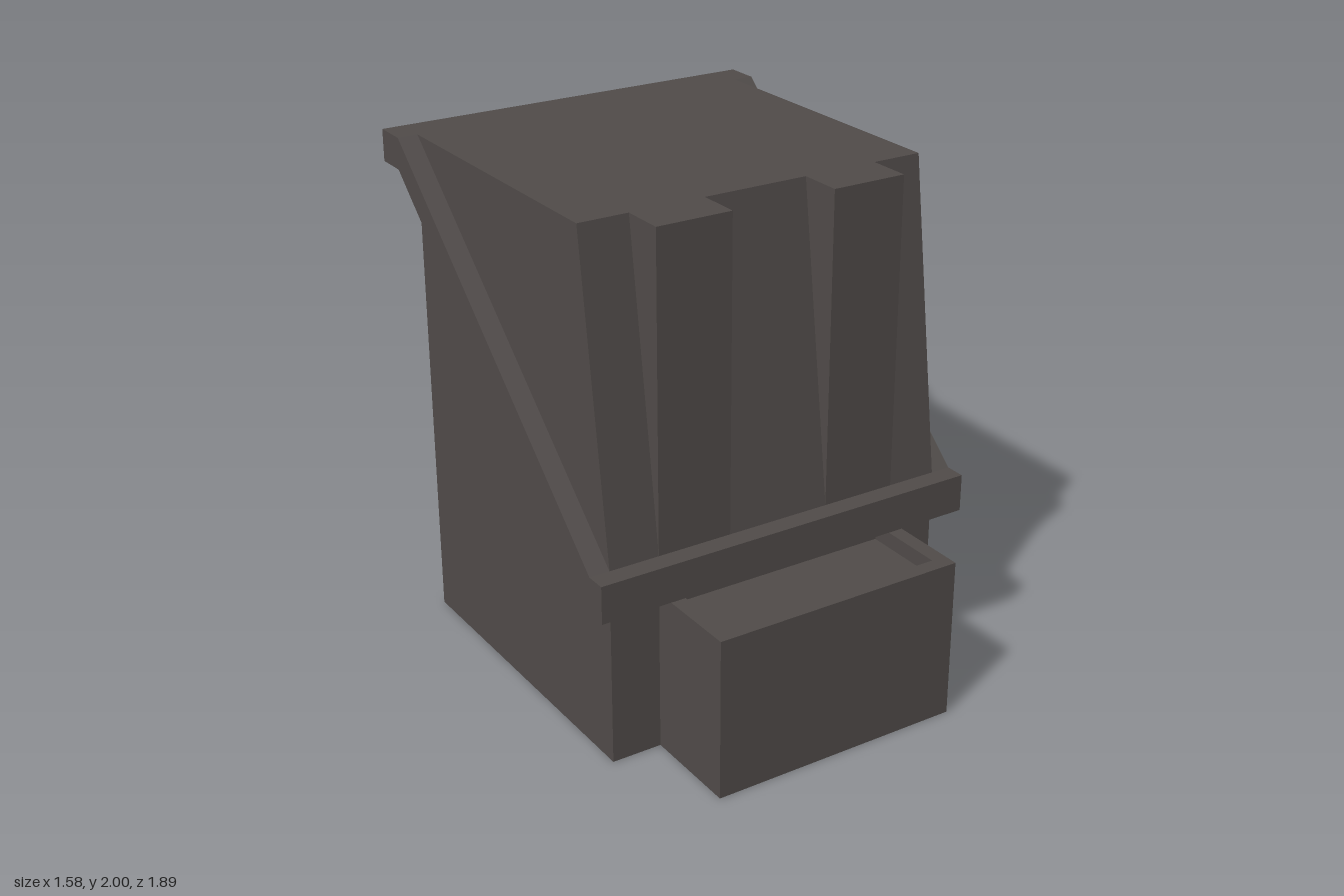
import * as THREE from 'three';
import { mergeGeometries } from 'three/addons/utils/BufferGeometryUtils.js';

const bodyMat = new THREE.MeshStandardMaterial({ color: 0x504b49, side: THREE.DoubleSide });
bodyMat.name = 'dark casing';
const panelMat = new THREE.MeshStandardMaterial({ color: 0x7c7c7c, side: THREE.DoubleSide });
panelMat.name = 'grey panel';

// One flat four-cornered sheet, corners anticlockwise from outside
function quad(a, b, c, d) {
  const g = new THREE.BufferGeometry();
  g.setAttribute('position', new THREE.Float32BufferAttribute([a, b, c, a, c, d].flat(), 3));
  g.computeVertexNormals();
  return g;
}
// Sheets facing front, back, up and sideways
const front = (x0, x1, y0, y1, z) => quad([x0, y0, z], [x1, y0, z], [x1, y1, z], [x0, y1, z]);
const back = (x0, x1, y0, y1, z) => quad([x1, y0, z], [x0, y0, z], [x0, y1, z], [x1, y1, z]);
const up = (x0, x1, z0, z1, y) => quad([x0, y, z1], [x1, y, z1], [x1, y, z0], [x0, y, z0]);
const side = (x, z0, z1, y0, y1, s) => s > 0
  ? quad([x, y0, z1], [x, y0, z0], [x, y1, z0], [x, y1, z1])
  : quad([x, y0, z0], [x, y0, z1], [x, y1, z1], [x, y1, z0]);

// Outline given as [z, y] points, extruded along x from x0 to x1
function profile(points, x0, x1) {
  const shape = new THREE.Shape(points.map(([z, y]) => new THREE.Vector2(-z, y)));
  const g = new THREE.ExtrudeGeometry(shape, { depth: x1 - x0, bevelEnabled: false });
  return g.rotateY(Math.PI / 2).translate(x0, 0, 0);
}
// Flat sheet from a [z, y] outline
function sideSheet(points, x) {
  const g = new THREE.ShapeGeometry(new THREE.Shape(points.map(([z, y]) => new THREE.Vector2(-z, y))));
  return g.rotateY(Math.PI / 2).translate(x, 0, 0);
}

export function createModel() {
  const model = new THREE.Group();
  const add = (name, geometry, material = bodyMat) => {
    const mesh = new THREE.Mesh(geometry, material);
    mesh.name = name;
    model.add(mesh);
  };
  const box = (w, h, d, x, y, z) => new THREE.BoxGeometry(w, h, d).translate(x, y, z);

  const W = 0.71, T = 0.51, F = 0.55, B = -0.82;   // casing and tray limits
  const LOW = 0.637, HIGH = 0.785, REAR = -0.7;

  // Open-bottomed casing
  const wall = [[B, 0], [F, 0], [F, HIGH], [0.38, 2], [B, 2]];
  for (const s of [1, -1]) add(s > 0 ? 'leftWall' : 'rightWall', sideSheet(wall, s * W));
  add('lowerFront', mergeGeometries([
    front(-W, -T, 0, LOW, F), front(T, W, 0, LOW, F), front(-W, W, LOW, HIGH, F),
  ]));
  add('slopedFront', quad([-W, HIGH, F], [W, HIGH, F], [W, 2, 0.38], [-W, 2, 0.38]));
  add('top', up(-W, W, B, 0.38, 2));

  // Upright ribs standing proud of the sloped front
  for (const x of [-T, 0.21]) add('frontRib', profile([[F, HIGH], [F, 2], [0.38, 2]], x, x + 0.3));

  // Raised trim: front bar, sloping side rails and rear lip
  const rail = [[0.63, LOW], [0.63, HIGH], [F, HIGH], [-0.81, 2], [-0.945, 2], [-0.945, 1.875], [B, 1.875], [F, LOW]];
  for (const x of [W, -0.79]) add('sideRail', profile(rail, x, x + 0.08));
  add('frontBar', box(2 * W, HIGH - LOW, 0.08, 0, (LOW + HIGH) / 2, 0.59));
  add('rearLip', box(2 * W, 0.125, 0.245, 0, 1.9375, -0.8225));

  // Front tray with a shallow recess
  const I = 0.45, Z = 0.945, ZI = 0.885, FLOOR = 0.575;
  add('trayShell', mergeGeometries([
    front(-T, T, 0, LOW, Z), side(T, F, Z, 0, LOW, 1), side(-T, F, Z, 0, LOW, -1),
  ]));
  add('trayRim', mergeGeometries([
    up(-T, T, ZI, Z, LOW), up(-T, -I, F, ZI, LOW), up(I, T, F, ZI, LOW),
  ]));
  add('trayRecess', mergeGeometries([
    up(-I, I, F, ZI, FLOOR), back(-I, I, FLOOR, LOW, ZI), front(-I, I, FLOOR, LOW, F),
    side(I, F, ZI, FLOOR, LOW, -1), side(-I, F, ZI, FLOOR, LOW, 1),
  ]));

  // Rear corner posts, panel frame and panel
  const P = 0.52, Q = 0.435, PT = 1.785;
  for (const s of [1, -1]) {
    const [a, b] = s > 0 ? [P, W] : [-W, -P];
    const [c, d] = s > 0 ? [Q, P] : [-P, -Q];
    add('rearPost', mergeGeometries([back(a, b, 0, 1.875, B), side(s * P, B, REAR, 0, 1.875, -s)]));
    add('panelFrameSide', back(c, d, 0, 1.875, REAR));
  }
  add('panelFrameTop', back(-Q, Q, PT, 1.875, REAR));
  add('rearPanel', back(-Q, Q, 0, PT, REAR), panelMat);

  return model;
}
